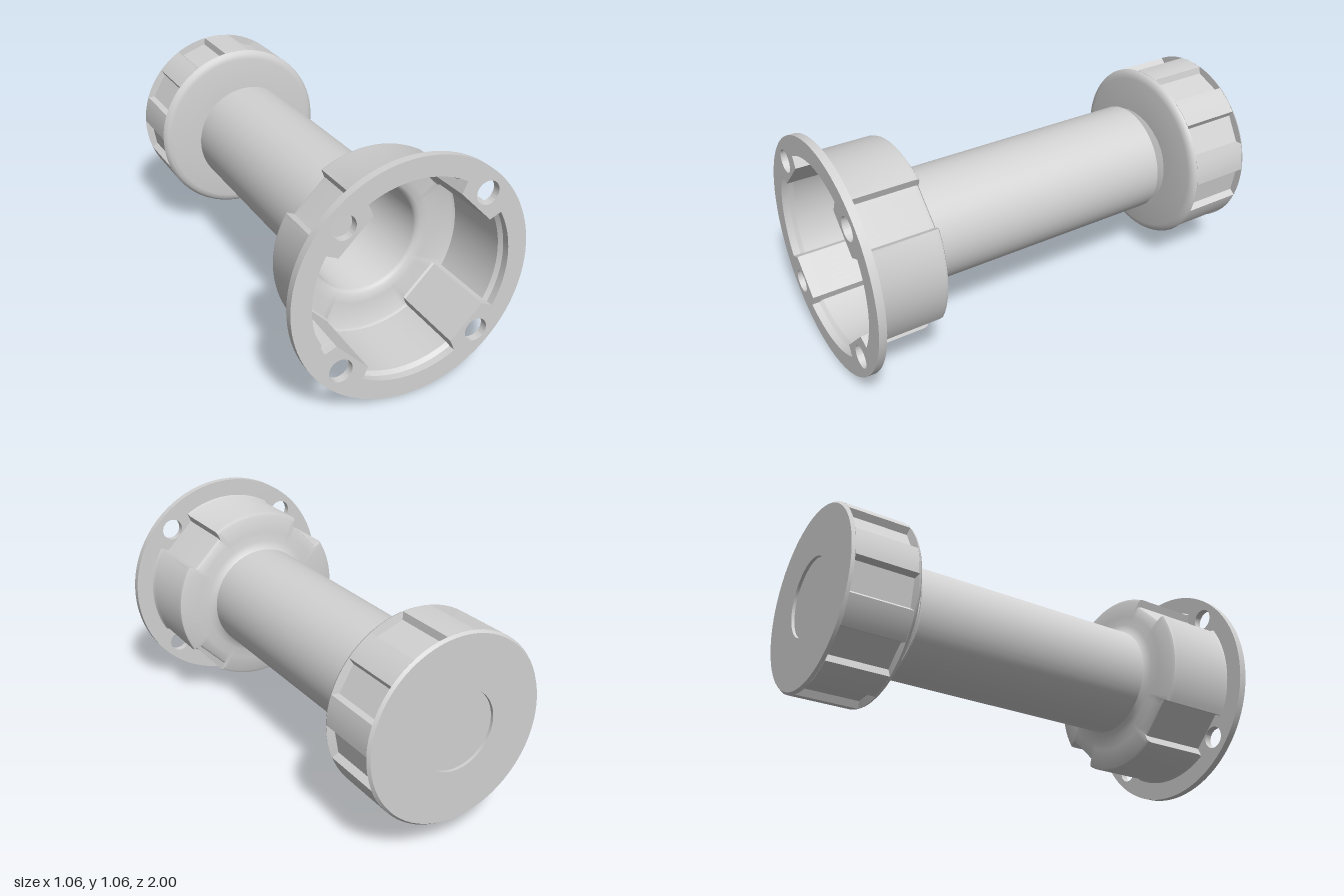
import * as THREE from 'three';
import { toCreasedNormals } from 'three/addons/utils/BufferGeometryUtils.js';

const rad = THREE.MathUtils.degToRad;
const polar = (r, deg) => new THREE.Vector2(r * Math.cos(rad(deg)), r * Math.sin(rad(deg)));

// Four wide lobes of radius r, joined by flat notches whose corners lie at radius rn.
function lobes(r, rn = r, half = 29.2) {
  const pts = [];
  for (let q = 0; q < 4; q++) {
    for (let i = 0; i <= 20; i++) pts.push(polar(r, q * 90 - half + (2 * half * i) / 20));
    const w = 45 - half - 0.8;
    for (let i = 0; i <= 8; i++) {
      const a = -w + (2 * w * i) / 8;
      const rr = rn === r ? r : (rn * Math.cos(rad(w))) / Math.cos(rad(a));
      pts.push(polar(rr, q * 90 + 45 + a));
    }
  }
  return pts;
}

// Skin over a list of closed sections with equal point counts.
function loft(rings) {
  const n = rings[0].length, index = [];
  for (let i = 0; i < rings.length - 1; i++) {
    for (let j = 0; j < n; j++) {
      const a = i * n + j, b = i * n + ((j + 1) % n);
      index.push(a, a + n, b + n, a, b + n, b);
    }
  }
  const g = new THREE.BufferGeometry().setFromPoints(rings.flat());
  g.setIndex(index);
  return g;
}

export function createModel() {
  const group = new THREE.Group();
  group.name = 'adjustableFoot';
  const grey = new THREE.MeshStandardMaterial({ color: 0xd2d2d2 });
  grey.name = 'plastic grey';

  const add = (name, geometry, z = 0) => {
    const mesh = new THREE.Mesh(toCreasedNormals(geometry, 0.6), grey);
    mesh.name = name;
    mesh.position.z = z;
    group.add(mesh);
  };

  // Mounting flange with a lobed opening and four screw holes
  const flange = new THREE.Shape().absarc(0, 0, 0.53, 0, Math.PI * 2);
  flange.holes.push(new THREE.Path(lobes(0.442, 0.387)));
  for (let k = 0; k < 4; k++) {
    const c = polar(0.445, 45 + 90 * k);
    flange.holes.push(new THREE.Path().absarc(c.x, c.y, 0.052, 0, Math.PI * 2));
  }
  add('flange', new THREE.ExtrudeGeometry(flange, { depth: 0.035, bevelEnabled: false, curveSegments: 48 }), 0.965);

  // Hollow lobed socket and tube: [z, radius, notch radius, lobe half angle]
  const shell = [
    [0.967, 0.447, 0.402, 30.6], [0.95, 0.437, 0.4, 30.6], // outside of the socket
    [0.655, 0.437, 0.4, 30.6], [0.641, 0.433, 0.397, 30.6], [0.634, 0.42, 0.388, 30.6],
    [0.625, 0.34], [0.619, 0.295], [0.612, 0.27], [0.6, 0.256], // collar
    [-0.6, 0.255], [-0.605, 0.25], [-0.605, 0.243], // tube end
    [0.605, 0.243], [0.618, 0.25], [0.628, 0.264], [0.634, 0.3], // bore and socket floor
    [0.643, 0.412, 0.378], [0.652, 0.424, 0.385],
    [0.95, 0.428, 0.387], [0.967, 0.442, 0.387],
  ];
  add('socketAndTube', loft(shell.map(([z, r, rn, half]) =>
    lobes(r, rn, half).map((p) => new THREE.Vector3(p.x, p.y, z)))));

  // Turned foot: recessed sole, core, rounded shoulder and adjusting rod
  const profile = [
    [0, -0.965], [0.178, -0.965], [0.178, -1], [0.407, -1], [0.417, -0.987], [0.365, -0.985],
    [0.365, -0.715], [0.417, -0.705], [0.412, -0.695], [0.4, -0.685], [0.378, -0.68],
    [0.18, -0.68], [0.18, -0.115], [0.167, -0.1], [0, -0.1],
  ].map(([r, z]) => new THREE.Vector2(r, z));
  add('footAndRod', new THREE.LatheGeometry(profile, 72).rotateX(Math.PI / 2));

  // Nine grip pockets around the foot
  const grip = [];
  for (let k = 0; k < 9; k++) {
    const c = 110 + 40 * k;
    grip.push(polar(0.386, c - 9.5), polar(0.386, c + 9.5));
    for (let i = 0; i <= 6; i++) grip.push(polar(0.417, c + 11 + 3 * i));
  }
  add('gripRing', new THREE.ExtrudeGeometry(new THREE.Shape(grip), { depth: 0.28, bevelEnabled: false }), -0.986);

  // Screw thread on the rod, fading out at both ends
  const turns = 6, steps = turns * 32, pitch = 0.09, thread = [];
  for (let i = 0; i <= steps; i++) {
    const t = i / steps, fade = Math.min(1, t * 40, (1 - t) * 10);
    const a = 120 + (i / 32) * 360, z = -0.65 + (pitch * Math.max(0, i - 24)) / 32, h = 0.005 + 0.02 * fade;
    thread.push([[0.175, -h], [0.178 + 0.062 * fade, 0], [0.175, h]].map(([r, dz]) => {
      const p = polar(r, a);
      return new THREE.Vector3(p.x, p.y, z + dz);
    }));
  }
  add('screwThread', loft(thread));

  group.position.y = 0.53;
  const model = new THREE.Group();
  model.add(group);
  return model;
}
